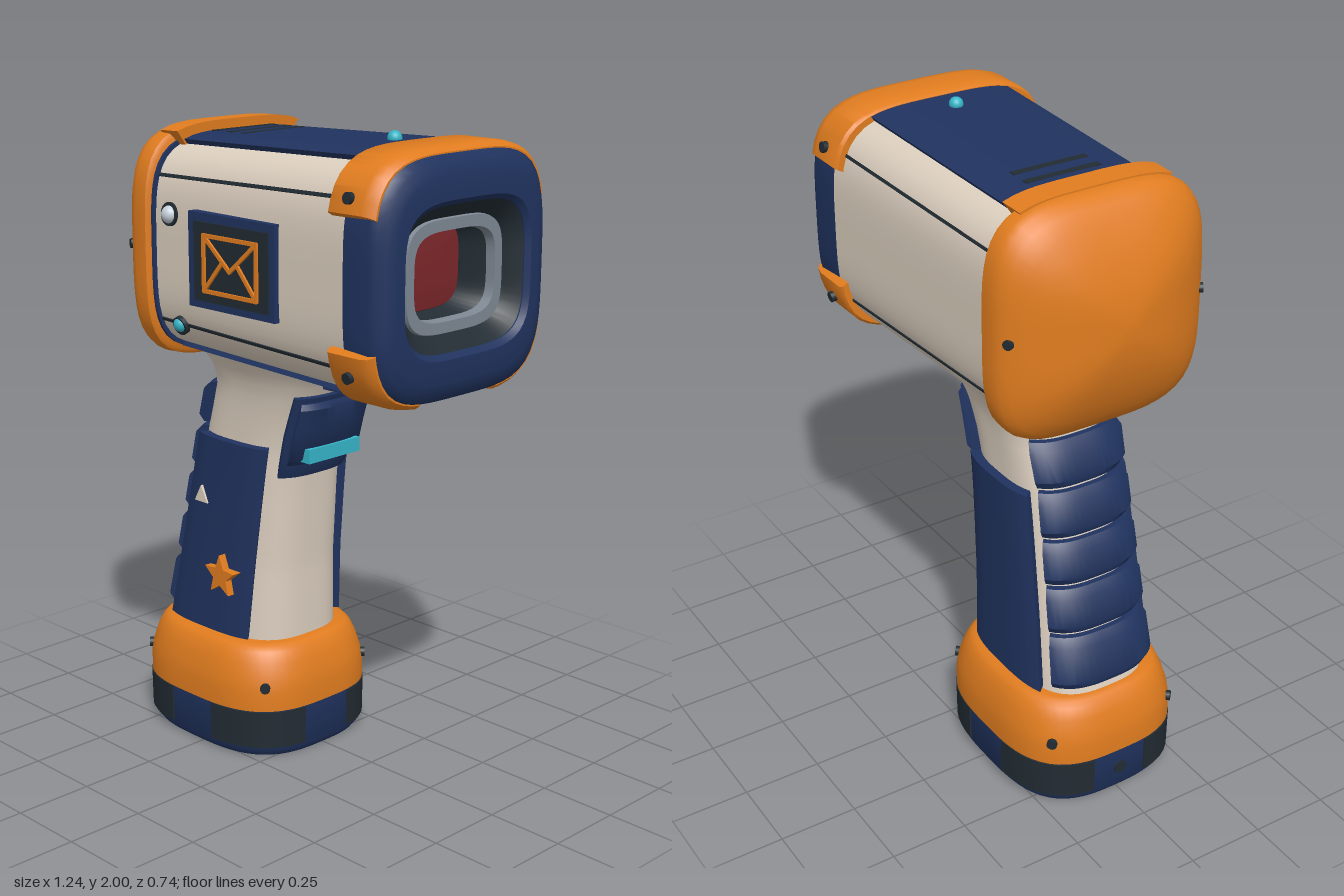
import * as THREE from 'three';
import { toCreasedNormals } from 'three/addons/utils/BufferGeometryUtils.js';

const paint = (name, color) => Object.assign(new THREE.MeshStandardMaterial({ color }), { name });
const M = {
  orange: paint('orange', 0xe07c1f), navy: paint('navy', 0x20335f), cream: paint('cream', 0xdccfbf),
  slate: paint('slate', 0x222c33), grey: paint('grey', 0x7d8792), teal: paint('teal', 0x35b5c8),
  red: paint('deep red', 0x7c272a), silver: paint('silver', 0xc6d0da),
};
const CY = 1.615; // height of the barrel axis
const BX = -0.283; // centre of the foot
const rad = THREE.MathUtils.degToRad;
const span = (a, b, n) => Array.from({ length: n + 1 }, (_, i) => a + (b - a) * i / n);

// point on a superellipse at a polar angle in degrees
function oval(deg, hu, hv, n) {
  const c = Math.cos(rad(deg)), s = Math.sin(rad(deg));
  const r = (Math.abs(c / hu) ** n + Math.abs(s / hv) ** n) ** (-1 / n);
  return [c * r, s * r];
}

// row of a table (first column is the key), interpolated
function row(table, k) {
  let i = 1;
  while (i < table.length - 1 && k > table[i][0]) i++;
  const a = table[i - 1], b = table[i], t = (k - a[0]) / (b[0] - a[0]);
  return a.map((v, j) => v + (b[j] - v) * t);
}

// skin through rings of points; ends are 'cap', 'open' or 'loop'
function loft(rings, ends = 'cap') {
  const pos = [], N = rings[0].length;
  const tri = (a, b, c) => pos.push(...a, ...b, ...c);
  const quad = (a, b, c, d) => { tri(a, b, c); tri(a, c, d); };
  const all = ends === 'loop' ? [...rings, rings[0]] : rings;
  for (let k = 0; k + 1 < all.length; k++) {
    for (let i = 0; i < N; i++) {
      const j = (i + 1) % N;
      quad(all[k][i], all[k][j], all[k + 1][j], all[k + 1][i]);
    }
  }
  if (ends === 'cap') {
    const f = rings[0], l = rings[rings.length - 1];
    for (let i = 0; i < N / 2 - 1; i++) {
      quad(f[N - 1 - i], f[N - 2 - i], f[i + 1], f[i]);
      quad(l[i], l[i + 1], l[N - 2 - i], l[N - 1 - i]);
    }
  }
  // turn the skin outward using its signed volume
  let vol = 0;
  for (let i = 0; i < pos.length; i += 9) {
    const [a, b, c, d, e, f, g, h, k] = pos.slice(i, i + 9);
    vol += a * (e * k - f * h) - b * (d * k - f * g) + c * (d * h - e * g);
  }
  if (vol < 0) {
    for (let i = 0; i < pos.length; i += 9) {
      for (let j = 0; j < 3; j++) [pos[i + 3 + j], pos[i + 6 + j]] = [pos[i + 6 + j], pos[i + 3 + j]];
    }
  }
  const geo = new THREE.BufferGeometry();
  geo.setAttribute('position', new THREE.Float32BufferAttribute(pos, 3));
  return toCreasedNormals(geo, rad(40));
}

// barrel: rings across x
const xRing = (x, hy, hz, n = 4) => span(0, 360, 72).slice(0, -1).map((a) => {
  const [z, y] = oval(a, hz, hy, n);
  return [x, CY + y, z];
});
const BODY = [[-0.38, 0.325, 0.322], [0.47, 0.346, 0.352]];
const bodyPoint = (x, a, off) => {
  const [, hy, hz] = row(BODY, x), [z, y] = oval(a, hz + off, hy + off, 4);
  return [x, CY + y, z];
};
// handle: key y, back x, front x, half width
const HANDLE = [[0.34, -0.55, -0.03, 0.2], [0.6, -0.487, -0.025, 0.186], [0.85, -0.43, -0.005, 0.176],
  [1.0, -0.395, 0.01, 0.172], [1.1, -0.365, 0.04, 0.174], [1.18, -0.34, 0.075, 0.18],
  [1.24, -0.347, 0.105, 0.195], [1.29, -0.39, 0.155, 0.225]];
const handlePoint = (y, a, off) => {
  const [, x0, x1, hz] = row(HANDLE, y), [x, z] = oval(a, (x1 - x0) / 2 + off, hz + off, 3);
  return [(x0 + x1) / 2 + x, y, z];
};
// foot: key y, half sizes
const FOOT = [[0, 0.312, 0.268], [0.025, 0.33, 0.286], [0.16, 0.332, 0.288]];
const footPoint = (y, a, off) => {
  const [, hx, hz] = row(FOOT, y), [x, z] = oval(a, hx + off, hz + off, 3);
  return [BX + x, y, z];
};
// raised plate hugging a surface: stations are [key, offset]
const plate = (point, a0, a1, stations, depth = 0.02) => loft(stations.map(([k, off]) => {
  const angles = span(a0, a1, Math.max(2, Math.ceil(Math.abs(a1 - a0) / 5)));
  return [...angles.map((a) => point(k, a, off)), ...angles.reverse().map((a) => point(k, a, -depth))];
}));
const flat = (k0, k1, off, n = 4) => span(k0, k1, n).map((k) => [k, off]);
const pillow = (k0, k1, off, e) => [[k0, off * 0.5], [k0 + e, off], [k1 - e, off], [k1, off * 0.5]];

export function createModel() {
  const root = new THREE.Group();
  const add = (name, geo, mat, x = 0, y = 0, z = 0) => {
    const mesh = new THREE.Mesh(geo, mat);
    mesh.name = name;
    mesh.position.set(x, y, z);
    root.add(mesh);
    return mesh;
  };
  const box = (name, mat, w, h, d, x, y, z) => add(name, new THREE.BoxGeometry(w, h, d), mat, x, y, z);
  const disc = (name, mat, r, depth, p, normal) => {
    const m = add(name, new THREE.CylinderGeometry(r, r, depth, 20), mat, ...p);
    m.quaternion.setFromUnitVectors(new THREE.Vector3(0, 1, 0), new THREE.Vector3(...normal).normalize());
    return m;
  };
  const dome = (name, mat, r, p) => add(name, new THREE.SphereGeometry(r, 20, 12), mat, ...p);

  // barrel shell, top and bottom panels, seams
  add('barrel', loft(span(-0.38, 0.47, 6).map((x) => xRing(...row(BODY, x))), 'open'), M.cream);
  add('rearBand', loft([xRing(-0.39, 0.337, 0.334), xRing(-0.365, 0.337, 0.334)]), M.navy);
  add('topPanel', plate(bodyPoint, 55, 125, flat(-0.37, 0.43, 0.016)), M.navy);
  add('bottomPanel', plate(bodyPoint, -55, -125, flat(-0.37, 0.48, 0.014)), M.navy);
  for (const a of [36, 144, 216, 324]) add('seam', plate(bodyPoint, a - 0.7, a + 0.7, flat(-0.37, 0.44, 0.003)), M.slate);

  // rear cap with its top tab
  add('rearCap', loft([[-0.375, 0.35, 0.338], [-0.385, 0.362, 0.35], [-0.43, 0.365, 0.35], [-0.455, 0.357, 0.342],
    [-0.48, 0.335, 0.323], [-0.51, 0.29, 0.285], [-0.54, 0.23, 0.235], [-0.565, 0.165, 0.17], [-0.582, 0.1, 0.1],
    [-0.593, 0.03, 0.03]].map((s) => xRing(...s))), M.orange);
  add('rearTab', plate(bodyPoint, 54, 126, flat(-0.42, -0.338, 0.045, 1)), M.orange);

  // nose ring, funnel, lens
  add('noseRing', loft([[0.46, 0.35, 0.352], [0.56, 0.355, 0.36], [0.585, 0.348, 0.352], [0.603, 0.328, 0.332],
    [0.615, 0.29, 0.3], [0.615, 0.225, 0.268], [0.6, 0.21, 0.255], [0.46, 0.21, 0.255]]
    .map((s) => xRing(...s)), 'loop'), M.navy);
  add('funnel', loft([[0.598, 0.212, 0.257], [0.545, 0.162, 0.203], [0.4, 0.124, 0.17], [0.4, 0.17, 0.21],
    [0.545, 0.23, 0.28]].map((s) => xRing(...s)), 'loop'), M.slate);
  add('lensRim', loft([[0.56, 0.163, 0.203], [0.56, 0.13, 0.172], [0.53, 0.125, 0.168], [0.53, 0.17, 0.21]]
    .map((s) => xRing(...s)), 'loop'), M.grey);
  add('lens', loft([xRing(0.39, 0.15, 0.19), xRing(0.42, 0.126, 0.172), xRing(0.428, 0.07, 0.1)]), M.red);

  // corner bumpers
  const bump = [[0.41, 0.018], [0.42, 0.025], [0.54, 0.022], [0.568, 0.016], [0.582, 0.004]];
  add('topBumper', plate(bodyPoint, 29, 151, bump), M.orange);
  add('bottomBumper', plate(bodyPoint, -27, -65, bump), M.orange);
  add('bottomBumper', plate(bodyPoint, -115, -153, bump), M.orange);
  for (const s of [1, -1]) {
    for (const y of [1.86, 1.365]) disc('bumperScrew', M.slate, 0.017, 0.03, [0.49, y, s * 0.354], [0, (y - CY) * 0.7, s]);
    disc('capScrew', M.slate, 0.015, 0.03, [-0.475, CY, s * 0.317], [-0.5, 0, s]);
  }

  // vents and lights
  for (const x of [-0.315, -0.248, -0.183]) box('vent', M.slate, 0.024, 0.02, 0.25, x, 1.955 + x * 0.02, 0);
  dome('topLight', M.teal, 0.022, [0.32, 1.978, 0]);
  box('underFrame', M.navy, 0.22, 0.03, 0.29, 0.285, 1.252, 0);
  box('underWindow', M.teal, 0.17, 0.008, 0.22, 0.285, 1.235, 0);

  // side buttons
  disc('buttonRim', M.slate, 0.036, 0.04, [-0.295, 1.725, 0.312], [0, 0.1, 1]);
  dome('button', M.silver, 0.028, [-0.295, 1.725, 0.325]);
  disc('buttonRim', M.slate, 0.03, 0.04, [-0.27, 1.39, 0.3], [0, -0.35, 1]);
  dome('button', M.teal, 0.024, [-0.27, 1.39, 0.312]);

  // display with envelope icon
  box('displayFrame', M.navy, 0.37, 0.284, 0.07, 0.01, 1.612, 0.323);
  box('displayScreen', M.slate, 0.32, 0.236, 0.008, 0.012, 1.61, 0.358);
  const bar = (x0, y0, x1, y1) => {
    const m = box('envelopeLine', M.orange, Math.hypot(x1 - x0, y1 - y0) + 0.008, 0.012, 0.008, (x0 + x1) / 2, (y0 + y1) / 2, 0.365);
    m.rotation.z = Math.atan2(y1 - y0, x1 - x0);
  };
  const L = -0.1, R = 0.126, T = 1.69, B = 1.525, C = 0.013;
  bar(L, T, R, T); bar(L, B, R, B);
  for (const x of [L, R]) {
    bar(x, B, x, T);
    bar(x, T, C, 1.595);
    bar(x, B, C + (x - C) * 0.28, 1.618);
  }

  // handle, side panels, finger pads
  add('handle', loft(span(0.34, 1.29, 24).map((y) => span(0, 360, 64).slice(0, -1).map((a) => handlePoint(y, a, 0)))), M.cream);
  for (const s of [1, -1]) add('gripPanel', plate(handlePoint, s * 48, s * 132, flat(0.375, 1.01, 0.03, 10)), M.navy);
  for (const [y0, y1] of [[0.396, 0.562], [0.578, 0.718], [0.734, 0.866], [0.882, 1.02], [1.035, 1.172]]) {
    add('fingerPad', plate(handlePoint, 140, 220, pillow(y0, y1, 0.035, 0.025)), M.navy);
  }

  // trigger
  add('triggerBase', plate(handlePoint, -38, 38, [[0.915, 0.015], [0.95, 0.028], [1.05, 0.032], [1.185, 0.025]]), M.navy);
  add('trigger', plate(handlePoint, -33, 33, [[0.96, 0.03], [0.985, 0.055], [1.08, 0.055], [1.15, 0.05], [1.168, 0.035]]), M.navy);
  box('triggerBar', M.teal, 0.04, 0.045, 0.22, 0.062, 0.998, 0);

  // grip icons
  const star = new THREE.Shape(span(0, 9, 9).map((i) => {
    const r = i % 2 ? 0.031 : 0.07, a = Math.PI / 2 + i * Math.PI / 5;
    return new THREE.Vector2(r * Math.cos(a), r * Math.sin(a));
  }));
  add('star', new THREE.ExtrudeGeometry(star, { depth: 0.035, bevelEnabled: false }), M.orange, -0.195, 0.573, 0.205);
  const wedge = new THREE.Shape([[-0.03, -0.022], [0.03, -0.022], [0, 0.032]].map((p) => new THREE.Vector2(...p)));
  add('triangle', new THREE.ExtrudeGeometry(wedge, { depth: 0.02, bevelEnabled: false }), M.cream, -0.307, 0.813, 0.193);

  // foot: collar, base, corner pads, screws
  const footRing = ([y, hx, hz]) => span(0, 360, 72).slice(0, -1).map((a) => {
    const [x, z] = oval(a, hx, hz, 3);
    return [BX + x, y, z];
  });
  add('collar', loft([[0.16, 0.334, 0.292], [0.22, 0.334, 0.292], [0.26, 0.328, 0.286], [0.31, 0.313, 0.272],
    [0.345, 0.297, 0.257], [0.36, 0.283, 0.243], [0.365, 0.265, 0.225]].map(footRing)), M.orange);
  add('base', loft(FOOT.map(footRing)), M.navy);
  for (const [a0, a1] of [[16, 72], [108, 164], [196, 252], [288, 344]]) {
    add('cornerPad', plate(footPoint, a0, a1, flat(0.035, 0.157, 0.005, 1)), M.slate);
  }
  for (const sx of [1, -1]) for (const sz of [1, -1]) {
    disc('collarScrew', M.slate, 0.016, 0.03, [BX + sx * 0.272, 0.24, sz * 0.215], [sx, 0, sz]);
  }
  disc('rearPort', M.slate, 0.022, 0.012, [BX - 0.332, 0.09, 0], [-1, 0, 0]);
  return root;
}
